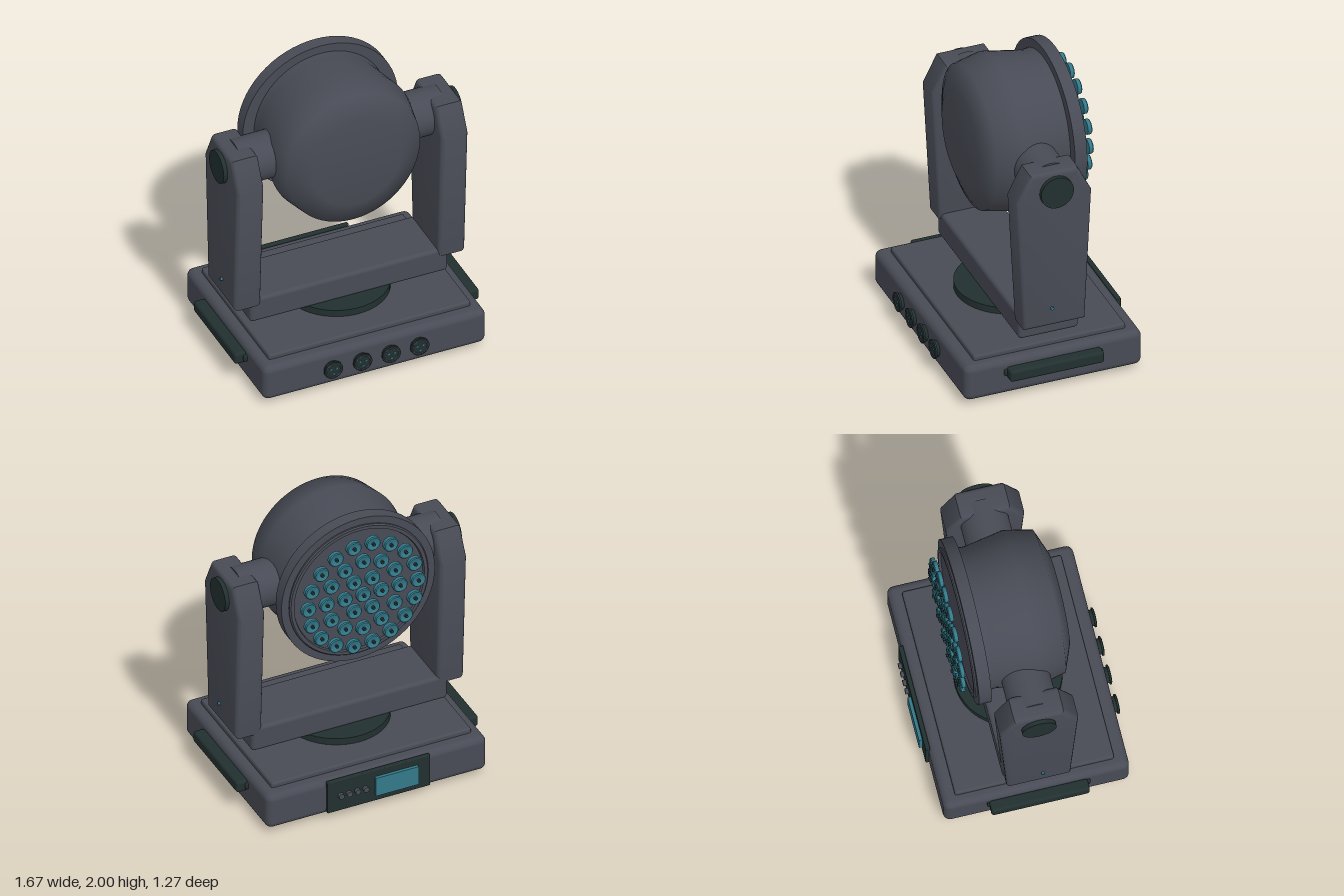
import * as THREE from 'three';
import { toCreasedNormals } from 'three/addons/utils/BufferGeometryUtils.js';
import { RoundedBoxGeometry } from 'three/addons/geometries/RoundedBoxGeometry.js';

const mat = (name, color) => {
  const m = new THREE.MeshStandardMaterial({ color });
  m.name = name;
  return m;
};

export function createModel() {
  const grey = mat('housing grey', 0x484b55);
  const dark = mat('dark trim', 0x22302f);
  const teal = mat('teal glass', 0x33798a);

  const model = new THREE.Group();
  model.name = 'movingHeadLight';

  const add = (name, geo, material, x = 0, y = 0, z = 0, parent = model) => {
    const m = new THREE.Mesh(geo, material);
    m.name = name;
    m.position.set(x, y, z);
    parent.add(m);
    return m;
  };
  const rounded = (w, h, d, r) => new RoundedBoxGeometry(w, h, d, 3, r);
  const cyl = (r, h, axis = 'y', n = 32, r2 = r) => {
    const g = new THREE.CylinderGeometry(r, r2, h, n);
    if (axis === 'x') g.rotateZ(-Math.PI / 2);
    if (axis === 'z') g.rotateX(Math.PI / 2);
    return g;
  };
  // Profile of [radius, z] points turned about the z axis
  const turned = (pts, n = 64) =>
    new THREE.LatheGeometry(pts.map(p => new THREE.Vector2(...p)), n).rotateX(Math.PI / 2);

  // Base box, top plate, feet and turntable
  add('base', rounded(1.52, 0.25, 1.19, 0.045), grey, 0, 0.16, 0);
  add('basePlate', rounded(1.38, 0.06, 1.02, 0.015), grey, 0, 0.288, 0);
  add('turntable', cyl(0.34, 0.06, 'y', 48), dark, 0, 0.335, 0);
  for (const x of [-0.58, 0.58])
    for (const z of [-0.41, 0.41])
      add('foot', cyl(0.07, 0.06, 'y', 24), dark, x, 0.03, z);

  // Carrying handles on the base sides
  for (const s of [-1, 1]) {
    add('handle', rounded(0.08, 0.08, 0.63, 0.018), dark, s * 0.795, 0.2, 0.005);
    add('handleMount', rounded(0.05, 0.045, 0.66, 0.01), dark, s * 0.755, 0.2, 0.008);
  }

  // Sockets along the front of the base
  for (const x of [-0.3, -0.1, 0.095, 0.29]) {
    const socket = new THREE.Group();
    socket.name = 'socket';
    socket.position.set(x, 0.165, 0.595);
    model.add(socket);
    add('socketBarrel', cyl(0.052, 0.03, 'z'), dark, 0, 0, 0.01, socket);
    add('socketFlange', cyl(0.063, 0.012, 'z'), dark, 0, 0, 0.026, socket);
    add('socketRim', new THREE.TorusGeometry(0.05, 0.005, 8, 32), grey, 0, 0, 0.031, socket);
    for (const a of [Math.PI / 6, Math.PI * 5 / 6, Math.PI * 3 / 2])
      add('socketPin', cyl(0.007, 0.008, 'z', 10), teal,
        0.023 * Math.cos(a), 0.023 * Math.sin(a), 0.033, socket);
  }

  // Control panel on the back of the base
  add('controlPanel', rounded(0.71, 0.23, 0.03, 0.006), dark, 0, 0.168, -0.6);
  add('screen', new THREE.BoxGeometry(0.295, 0.135, 0.022), teal, -0.118, 0.168, -0.625);
  for (let i = 0; i < 4; i++)
    add('button', cyl(0.019, 0.025, 'z', 16), grey, 0.095 + i * 0.057, 0.168, -0.624);

  // Yoke: cross bar and two tapered arms
  add('yokeBar', rounded(1.35, 0.175, 0.4, 0.025), grey, 0, 0.4425, 0);
  const armShape = new THREE.Shape([
    [-0.2, 0.485], [0.21, 0.485], [0.26, 1.42], [0.165, 1.61], [-0.15, 1.61], [-0.245, 1.42],
  ].map(p => new THREE.Vector2(...p)));
  const bevel = 0.03;
  const armGeo = toCreasedNormals(new THREE.ExtrudeGeometry(armShape, {
    depth: 0.185 - 2 * bevel, bevelEnabled: true, bevelThickness: bevel,
    bevelSize: bevel, bevelOffset: -bevel, bevelSegments: 4,
  }).translate(0, 0, -(0.185 - 2 * bevel) / 2).rotateY(-Math.PI / 2), 0.6);
  for (const s of [-1, 1]) {
    add('yokeArm', armGeo, grey, s * 0.6975, 0, 0);
    add('tiltHub', cyl(0.153, 0.32, 'x', 40), grey, s * 0.54, 1.47, 0);
    add('tiltCap', cyl(0.11, 0.04, 'x', 32), dark, s * 0.797, 1.473, 0);
    add('armIndicator', cyl(0.011, 0.03, 'x', 12), teal, s * 0.79, 0.62, 0.028);
  }

  // Lamp head, slightly narrower across than tall
  const head = new THREE.Group();
  head.name = 'head';
  head.position.set(0, 1.47, 0);
  model.add(head);
  const shell = add('headShell', turned([
    [0.475, -0.26], [0.468, -0.18], [0.515, 0.08], [0.475, 0.26], [0.315, 0.322], [0, 0.322],
  ]), grey, 0, 0, 0, head);
  shell.scale.x = 0.96;

  // Front ring with a shallow recess for the lens plate
  add('headRing', toCreasedNormals(turned([
    [0, -0.32], [0.445, -0.32], [0.45, -0.335], [0.472, -0.335], [0.48, -0.327],
    [0.48, -0.317], [0.53, -0.317], [0.53, -0.235], [0.44, -0.235],
  ]), 0.6), grey, 0, 0, 0, head);

  // Lenses in concentric rings
  const lensGeo = toCreasedNormals(turned([
    [0, -0.396], [0.02, -0.396], [0.034, -0.404], [0.044, -0.404], [0.05, -0.398],
    [0.05, -0.374], [0, -0.374],
  ], 20), 0.6);
  const nubGeo = cyl(0.011, 0.02, 'z', 10);
  for (let ring = 0; ring < 4; ring++) {
    const count = Math.max(1, ring * 6);
    for (let i = 0; i < count; i++) {
      const a = (i / count) * Math.PI * 2;
      const x = ring * 0.126 * Math.cos(a), y = ring * 0.126 * Math.sin(a);
      add('lens', lensGeo, teal, x, y, 0, head);
      add('lensCentre', nubGeo, dark, x, y, -0.403, head);
    }
  }

  return model;
}
